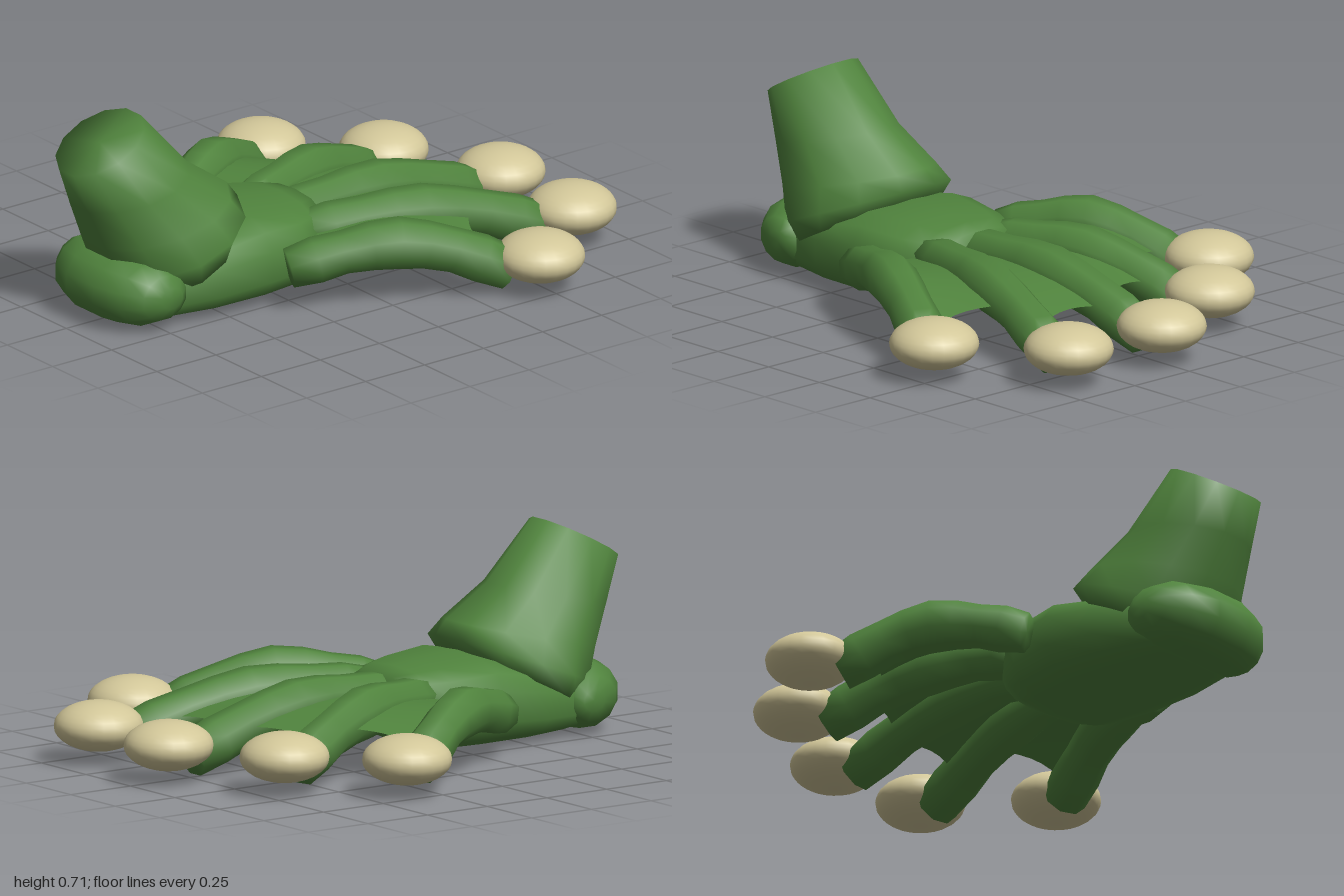
import * as THREE from 'three';

const V = (x, y, z) => new THREE.Vector3(x, y, z);

// Closed smooth skin through a list of rings (each an equal-length list of points)
function loft(rings) {
  const n = rings[0].length, pts = rings.flat(), idx = [];
  for (let r = 0; r < rings.length - 1; r++) {
    for (let i = 0; i < n; i++) {
      const a = r * n + i, b = r * n + (i + 1) % n;
      idx.push(a, b, a + n, b, b + n, a + n);
    }
  }
  [0, rings.length - 1].forEach((r, end) => {
    const c = pts.length;
    pts.push(rings[r].reduce((s, p) => s.add(p), V(0, 0, 0)).divideScalar(n));
    for (let i = 0; i < n; i++) {
      const a = r * n + i, b = r * n + (i + 1) % n;
      if (end) idx.push(c, a, b); else idx.push(c, b, a);
    }
  });
  // Turn the faces outward when the enclosed volume is negative
  let vol = 0;
  for (let i = 0; i < idx.length; i += 3) {
    vol += pts[idx[i]].dot(pts[idx[i + 1]].clone().cross(pts[idx[i + 2]]));
  }
  if (vol < 0) idx.reverse();
  const g = new THREE.BufferGeometry().setFromPoints(pts);
  g.setIndex(idx);
  g.computeVertexNormals();
  return g;
}

// Rounded ring around a centre, spanned by two half-axes; power < 1 squares it off
function ring(c, a, b, n, power = 1) {
  const soft = (v) => Math.sign(v) * Math.pow(Math.abs(v), power);
  return Array.from({ length: n }, (_, i) => {
    const t = (i + 0.5) / n * Math.PI * 2;
    return c.clone().addScaledVector(a, soft(Math.cos(t))).addScaledVector(b, soft(Math.sin(t)));
  });
}

// Arched toe path in plan from base to tip, heights taken at even steps
function toePath([bx, bz], [tx, tz], heights) {
  return new THREE.CatmullRomCurve3(heights.map((y, i) => {
    const t = i / (heights.length - 1);
    return V(bx + (tx - bx) * t, y, bz + (tz - bz) * t);
  }));
}

function toeGeometry(path) {
  const radii = [0.068, 0.08, 0.074, 0.083, 0.089, 0.082, 0.077, 0.083, 0.074];
  return loft(radii.map((r, i) => {
    const t = i / (radii.length - 1), tan = path.getTangent(t);
    const side = tan.clone().cross(V(0, 1, 0)).normalize();
    const up = side.clone().cross(tan);
    return ring(path.getPoint(t), side.multiplyScalar(r), up.multiplyScalar(r), 8);
  }));
}

// Skin stretched between two toe paths with a scalloped free edge
function webGeometry(pa, pb, ta, tb) {
  const nu = 8, nv = 8, pts = [], idx = [];
  for (let v = 0; v <= nv; v++) {
    for (let u = 0; u <= nu; u++) {
      const k = u / nu, s = v / nv * (1 - 0.06 * Math.sin(Math.PI * k));
      const p = pa.getPoint(ta * s).lerp(pb.getPoint(tb * s), k);
      p.y += 0.015;
      pts.push(p);
      if (u < nu && v < nv) {
        const a = v * (nu + 1) + u, b = a + nu + 1;
        idx.push(a, a + 1, b, a + 1, b + 1, b);
      }
    }
  }
  const g = new THREE.BufferGeometry().setFromPoints(pts);
  g.setIndex(idx);
  g.computeVertexNormals();
  return g;
}

export function createModel() {
  const model = new THREE.Group();
  const skin = new THREE.MeshStandardMaterial({ color: 0x50833d, side: THREE.DoubleSide });
  skin.name = 'green skin';
  const pad = new THREE.MeshStandardMaterial({ color: 0xd2c799 });
  pad.name = 'cream toe pad';
  const add = (name, geometry, material) => {
    const m = new THREE.Mesh(geometry, material);
    m.name = name;
    model.add(m);
    return m;
  };

  // Palm: z, half width, bottom, top
  add('palm', loft([
    [0.84, 0.17, 0.03, 0.19], [0.72, 0.235, 0.005, 0.23], [0.55, 0.28, 0, 0.27],
    [0.35, 0.3, 0, 0.31], [0.18, 0.27, 0, 0.295], [0.1, 0.225, 0.025, 0.285], [0.03, 0.16, 0.065, 0.272],
  ].map(([z, w, lo, hi]) =>
    ring(V(0, (lo + hi) / 2, z), V(w, 0, 0), V(0, (hi - lo) / 2, 0), 14, 0.72))), skin);

  // Heel: a rounded pill lying across the back of the palm (x, size, z)
  add('heel', loft([
    [-0.262, 0.3, 0.75], [-0.24, 0.64, 0.765], [-0.175, 0.9, 0.785], [-0.075, 1, 0.803],
    [0.075, 1, 0.803], [0.175, 0.9, 0.785], [0.24, 0.64, 0.765], [0.262, 0.3, 0.75],
  ].map(([x, s, z]) =>
    ring(V(x, 0.128, z), V(0, 0, 0.145 * s), V(0, 0.124 * s, 0), 12))), skin);

  // Leg: toe-side (y, z), heel-side (y, z), half width
  add('leg', loft([
    [0.715, 0.715, 0.56, 1.0, 0.152], [0.51, 0.53, 0.42, 0.945, 0.195], [0.4, 0.37, 0.28, 0.885, 0.245],
    [0.35, 0.335, 0.16, 0.83, 0.29], [0.28, 0.39, 0.09, 0.77, 0.27],
  ].map(([fy, fz, by, bz, w]) => ring(
    V(0, (fy + by) / 2, (fz + bz) / 2),
    V(0, (fy - by) / 2, (fz - bz) / 2).multiplyScalar(1.03), V(w * 1.03, 0, 0), 12))), skin);

  // Toes: base, tip and pad centre in plan, fanned from the model's right to its left
  const outer = [0.148, 0.19, 0.207, 0.165, 0.083];
  const inner = [0.185, 0.205, 0.2, 0.155, 0.075];
  const toes = [
    [[-0.335, 0.305], [-0.64, -0.27], [-0.69, -0.355], outer],
    [[-0.145, 0.13], [-0.37, -0.57], [-0.41, -0.66], inner],
    [[-0.005, 0.12], [-0.012, -0.76], [-0.013, -0.85], inner],
    [[0.15, 0.13], [0.375, -0.74], [0.4, -0.835], inner],
    [[0.315, 0.3], [0.63, -0.39], [0.687, -0.48], outer],
  ];
  const paths = toes.map(([base, tip, , heights]) => toePath(base, tip, heights));
  toes.forEach(([, , [px, pz]], i) => {
    add(`toe${i + 1}`, toeGeometry(paths[i]), skin);
    const p = add(`toePad${i + 1}`, new THREE.SphereGeometry(0.152, 24, 16), pad);
    p.scale.y = 0.56;
    p.position.set(px, 0.125, pz);
  });

  // Webbing between neighbouring toes, with how far it reaches along each
  [[0.93, 0.72], [0.87, 0.8], [0.84, 0.86], [0.69, 0.95]].forEach(([ta, tb], i) =>
    add(`web${i + 1}`, webGeometry(paths[i], paths[i + 1], ta, tb), skin));

  return model;
}
